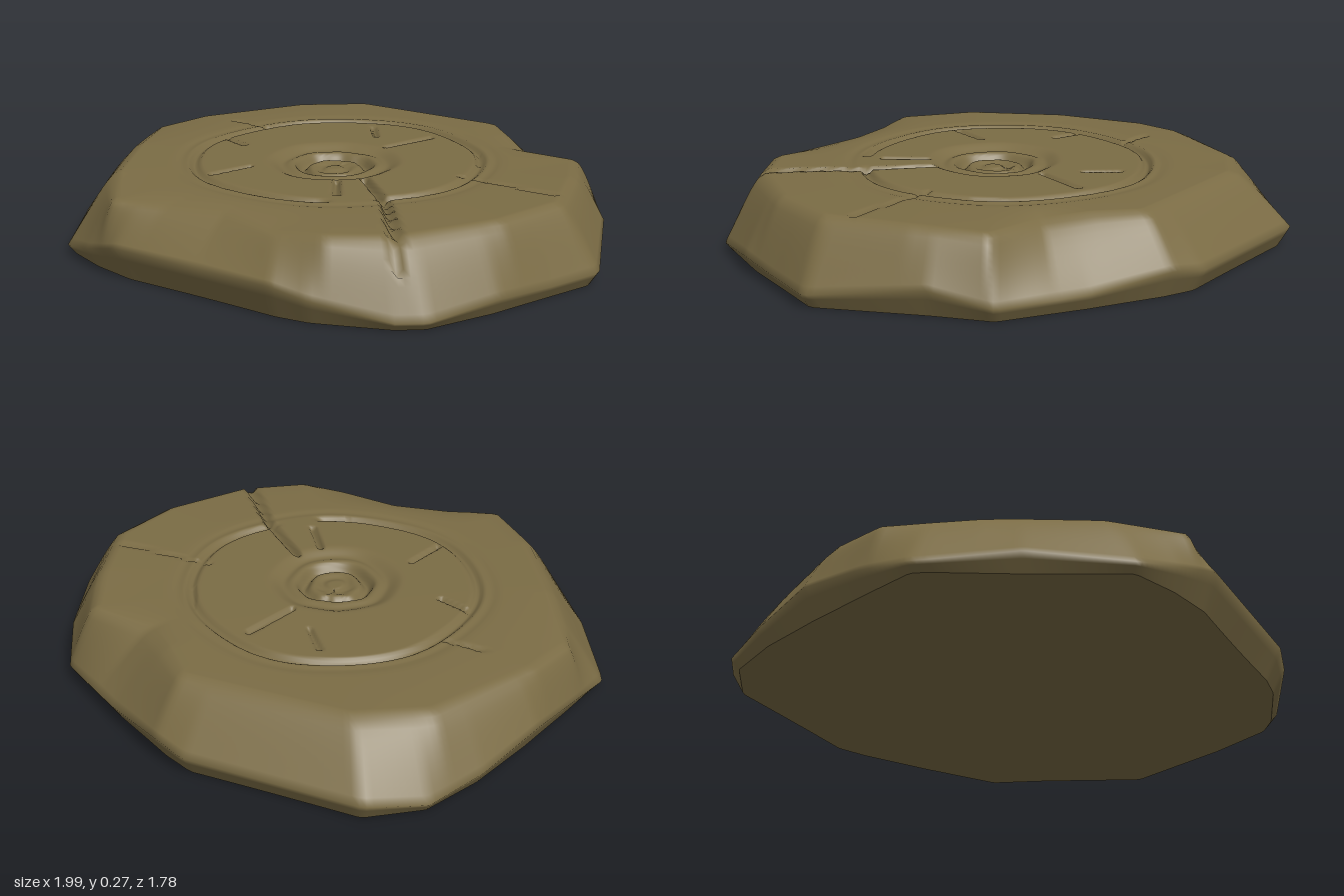
import * as THREE from 'three';

const CX = -0.03, CZ = 0.04, TOP = 0.272, SEG = 288;

// widest outline of the slab: x, z, height
const RIM = [
  [1, 0.03, 0.05], [0.93, 0.23, 0.05], [0.86, 0.44, 0.06], [0.74, 0.67, 0.03], [0.66, 0.73, 0.03],
  [0.42, 0.85, 0.09], [0.3, 0.88, 0.12], [-0.33, 0.89, 0.12], [-0.5, 0.84, 0.07], [-0.66, 0.77, 0.03],
  [-0.84, 0.47, 0.06], [-0.98, 0.21, 0.03], [-1, 0.16, 0.03], [-0.96, -0.05, 0.07], [-0.9, -0.3, 0.1],
  [-0.8, -0.55, 0.06], [-0.69, -0.75, 0.04], [-0.52, -0.88, 0.07], [0.1, -0.89, 0.08], [0.22, -0.85, 0.1],
  [0.47, -0.7, 0.06], [0.74, -0.53, 0.05], [0.84, -0.34, 0.1],
];
// edge of the flat top: x, z, height
const EDGE = [
  [0.85, 0.06, TOP], [0.78, 0.32, TOP], [0.6, 0.6, 0.265], [0.4, 0.73, 0.265], [0.22, 0.74, 0.25],
  [0, 0.68, 0.265], [-0.2, 0.74, 0.255], [-0.38, 0.81, 0.255], [-0.56, 0.6, TOP], [-0.74, 0.28, TOP],
  [-0.89, 0.0, 0.25], [-0.83, -0.2, 0.26], [-0.62, -0.56, 0.262], [-0.4, -0.69, 0.27], [0.18, -0.7, 0.27],
  [0.3, -0.58, 0.27], [0.42, -0.47, 0.255], [0.66, -0.45, 0.262], [0.76, -0.22, TOP],
];
// cracks: x1, z1, x2, z2, half width, depth
const CRACKS = [
  [0.18, 0.18, 0.38, 0.36, 0.022, 0.03], [0.38, 0.36, 0.62, 0.66, 0.022, 0.035],
  [-0.16, -0.39, -0.08, -0.29, 0.016, 0.014], [0.1, -0.39, 0.03, -0.19, 0.018, 0.016],
  [0.35, -0.31, 0.42, -0.19, 0.018, 0.018], [0.44, -0.02, 0.81, -0.01, 0.012, 0.012],
  [-0.66, -0.18, -0.5, -0.17, 0.014, 0.014], [-0.54, 0.04, -0.42, 0.08, 0.016, 0.018],
  [-0.28, 0.44, -0.23, 0.29, 0.016, 0.016], [0.12, 0.26, 0.21, 0.39, 0.018, 0.02],
  [0.2, 0.48, 0.12, 0.52, 0.014, 0.014],
];

// where a ray from the carving's centre meets an outline
function hit(outline, a) {
  const c = Math.cos(a), s = Math.sin(a);
  for (let i = 0; i < outline.length; i++) {
    const p = outline[i], q = outline[(i + 1) % outline.length];
    const px = p[0] - CX, pz = p[1] - CZ, ex = q[0] - p[0], ez = q[1] - p[1];
    const den = c * ez - s * ex;
    if (Math.abs(den) < 1e-9) continue;
    const r = (px * ez - pz * ex) / den, t = (px * s - pz * c) / den;
    if (r > 0 && t >= -1e-6 && t <= 1 + 1e-6) return { r, y: p[2] + (q[2] - p[2]) * t };
  }
  return { r: 0.9, y: 0.05 };
}

const dip = (d, w) => (Math.abs(d) < w ? (1 + Math.cos(Math.PI * d / w)) / 2 : 0);
const smooth = THREE.MathUtils.smoothstep;

function crackDepth(x, z) {
  let depth = 0;
  for (const [x1, z1, x2, z2, w, d] of CRACKS) {
    const ex = x2 - x1, ez = z2 - z1;
    const t = THREE.MathUtils.clamp(((x - x1) * ex + (z - z1) * ez) / (ex * ex + ez * ez), 0, 1);
    depth = Math.max(depth, d * dip(Math.hypot(x - x1 - ex * t, z - z1 - ez * t), w));
  }
  return depth;
}

// how far the carving sinks below the flat top
function carve(x, z) {
  const dx = x + 0.035, dz = z - 0.025, r = Math.hypot(dx, dz), a = Math.atan2(dz, dx);
  const wobble = 0.006 * Math.sin(3 * a + 1) + 0.004 * Math.sin(7 * a);
  const gap = smooth(Math.abs(a - 0.88), 0.12, 0.22);
  const worn = 0.65 + 0.35 * Math.sin(a * 2 - 0.6);
  let d = gap * (0.012 + 0.01 * worn) * dip(r - 0.51 - wobble, 0.026);
  d += 0.004 * dip(r - 0.56 - wobble, 0.03);
  // central bowl, ring groove and knob
  const b = Math.hypot(x + 0.025, z - 0.065) + wobble * 0.6;
  d += 0.026 * (1 - smooth(b, 0.17, 0.245));
  d -= 0.012 * dip(b - 0.155, 0.04);
  d += 0.024 * dip(b - 0.115, 0.03);
  d += 0.008 * dip(b - 0.05, 0.03);
  return Math.max(d, crackDepth(x, z));
}

function slabGeometry() {
  const INNER = 80, OUTER = 16, SIDE = 10, BASE = 3, rows = INNER + OUTER + SIDE + BASE;
  const pos = [], index = [], bottom = [];
  for (let j = 0; j < SEG; j++) {
    const a = j / SEG * Math.PI * 2, c = Math.cos(a), s = Math.sin(a);
    const edge = hit(EDGE, a), rim = hit(RIM, a);
    const foot = rim.r - 0.015 - rim.y * 0.35;
    for (let i = 0; i <= rows; i++) {
      let r, y;
      if (i <= INNER) {                           // carved disc
        r = 0.58 * i / INNER;
        y = TOP;
      } else if (i <= INNER + OUTER) {            // plain top out to its edge
        const t = (i - INNER) / OUTER;
        r = 0.58 + (edge.r - 0.58) * t;
        y = TOP + (edge.y - TOP) * t * t;
      } else if (i <= INNER + OUTER + SIDE) {     // sloping flank
        const t = (i - INNER - OUTER) / SIDE, bulge = 0.02 * Math.sin(Math.PI * Math.sqrt(t));
        r = edge.r + (rim.r - edge.r) * t + bulge * 0.6;
        y = edge.y + (rim.y - edge.y) * t + bulge * 0.5;
      } else {                                    // undercut to the ground
        const t = (i - INNER - OUTER - SIDE) / BASE;
        r = rim.r + (foot - rim.r) * t;
        y = rim.y * (1 - t);
      }
      const x = CX + c * r, z = CZ + s * r;
      if (i <= INNER + OUTER + 4) y -= carve(x, z);
      pos.push(x, y, z);
      if (i === rows) bottom.push(new THREE.Vector2(x, z));
      if (i < rows) {
        const p = j * (rows + 1) + i, q = ((j + 1) % SEG) * (rows + 1) + i;
        if (i > 0) index.push(p, q, p + 1);
        index.push(q, q + 1, p + 1);
      }
    }
  }
  const geo = new THREE.BufferGeometry();
  geo.setAttribute('position', new THREE.Float32BufferAttribute(pos, 3));
  geo.setIndex(index);
  geo.computeVertexNormals();
  return { geo, bottom };
}

export function createModel() {
  const group = new THREE.Group();
  group.name = 'carvedStoneSlab';
  const stone = new THREE.MeshStandardMaterial({ color: 0x7b6c45 });
  stone.name = 'brown stone';

  const { geo, bottom } = slabGeometry();
  const slab = new THREE.Mesh(geo, stone);
  slab.name = 'carvedSlab';

  // flat underside, turned to face down
  const under = new THREE.Mesh(new THREE.ShapeGeometry(new THREE.Shape(bottom)).rotateX(Math.PI / 2), stone);
  under.name = 'underside';

  group.add(slab, under);
  return group;
}
